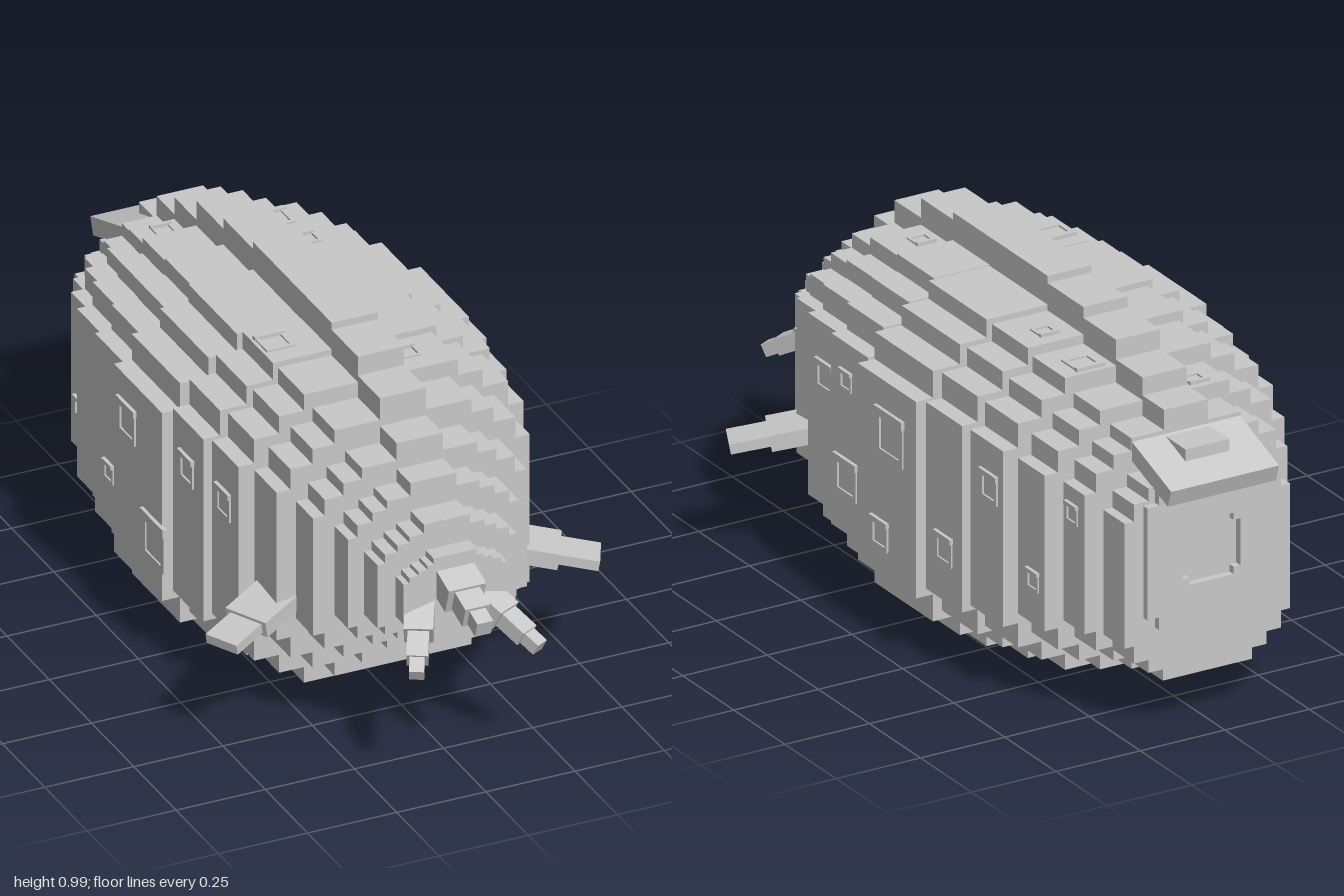
import * as THREE from 'three';

// Hull slices: front z, back z, half width, bottom, top
const SLICES = [
  [0.82, 0.77, 0.145, 0.39, 0.60],
  [0.77, 0.69, 0.195, 0.345, 0.675],
  [0.69, 0.61, 0.24, 0.29, 0.755],
  [0.61, 0.51, 0.30, 0.215, 0.83],
  [0.51, 0.38, 0.355, 0.135, 0.91],
  [0.38, 0.225, 0.40, 0.055, 0.965],
  [0.225, 0.045, 0.425, 0.03, 0.985],
  [0.045, -0.24, 0.455, 0, 0.985],
  [-0.24, -0.415, 0.425, 0.03, 0.965],
  [-0.415, -0.575, 0.40, 0.055, 0.935],
  [-0.575, -0.705, 0.355, 0.10, 0.88],
  [-0.705, -0.81, 0.30, 0.135, 0.83],
  [-0.81, -0.915, 0.245, 0.135, 0.76],
];

// Stepped tiers: width, lower and upper height, as fractions of a slice
const TIERS = [
  [1, 0.183, 0.736],
  [0.89, 0.107, 0.812],
  [0.715, 0.05, 0.868],
  [0.54, 0, 0.919],
];

const sliceAt = (z) => SLICES.find(([f, b]) => z <= f && z >= b);

function slicePoints([, , w, lo, hi]) {
  const y = (f) => lo + (hi - lo) * f;
  const ridge = Math.min(0.065, w * 0.42);
  const half = [];
  // right half of the outline, from the bottom up
  for (let i = TIERS.length - 1; i >= 0; i--) {
    half.push([TIERS[i][0] * w, y(TIERS[i][1])]);
    if (i > 0) half.push([TIERS[i][0] * w, y(TIERS[i - 1][1])]);
  }
  for (let i = 0; i < TIERS.length; i++) {
    half.push([TIERS[i][0] * w, y(TIERS[i][2])]);
    half.push([i < 3 ? TIERS[i + 1][0] * w : ridge, y(TIERS[i][2])]);
  }
  half.push([ridge, hi]);
  // fix the lower steps so every corner is square
  const lower = [];
  for (let i = TIERS.length - 1; i >= 0; i--) {
    lower.push([TIERS[i][0] * w, y(TIERS[i][1])]);
    if (i > 0) lower.push([TIERS[i][0] * w, y(TIERS[i - 1][1])]);
  }
  const right = [...lower, ...half.slice(lower.length)];
  const left = right.map(([x, py]) => [-x, py]).reverse();
  return [...right, ...left].map(([x, py]) => new THREE.Vector2(x, py));
}

export function createModel() {
  const model = new THREE.Group();
  const grey = new THREE.MeshStandardMaterial({ color: 0xc8c8c8 });
  grey.name = 'plain grey';

  const add = (parent, name, geometry, x = 0, y = 0, z = 0) => {
    const mesh = new THREE.Mesh(geometry, grey);
    mesh.name = name;
    mesh.position.set(x, y, z);
    parent.add(mesh);
    return mesh;
  };
  const box = (parent, name, w, h, d, x, y, z) =>
    add(parent, name, new THREE.BoxGeometry(w, h, d), x, y, z);

  // Stepped hull
  const hull = new THREE.Group();
  hull.name = 'hull';
  model.add(hull);
  SLICES.forEach((s) => {
    const geometry = new THREE.ExtrudeGeometry(new THREE.Shape(slicePoints(s)), {
      depth: s[0] - s[1], bevelEnabled: false,
    });
    add(hull, 'hullSlice', geometry, 0, 0, s[1]);
  });

  // Window: thin square frame with a small hood, facing local +z
  function makeWindow(size) {
    const g = new THREE.Group();
    g.name = 'window';
    const t = size * 0.14, r = size / 2 - t / 2;
    for (const s of [-1, 1]) {
      box(g, 'windowPost', t, size, 0.006, s * r, 0, 0.002);
      box(g, 'windowBar', size, t, 0.006, 0, s * r, 0.002);
    }
    box(g, 'windowHood', size * 1.05, t * 1.3, 0.014, 0, r, 0.003);
    model.add(g);
    return g;
  }

  // Side windows: z, y, size
  const leftSide = [
    [0.57, 0.55, 0.055], [0.295, 0.58, 0.08], [0.15, 0.63, 0.055],
    [0.15, 0.36, 0.105], [-0.115, 0.58, 0.13], [-0.065, 0.295, 0.08],
    [-0.33, 0.345, 0.08], [-0.51, 0.58, 0.08], [-0.65, 0.365, 0.055],
    [-0.75, 0.575, 0.055],
  ];
  const rightSide = [
    [0.295, 0.58, 0.08], [0.13, 0.60, 0.08], [0, 0.33, 0.13],
    [-0.16, 0.60, 0.1], [-0.33, 0.36, 0.055], [-0.65, 0.365, 0.055],
  ];
  [[1, leftSide], [-1, rightSide]].forEach(([side, list]) => {
    list.forEach(([z, y, size]) => {
      const w = makeWindow(size);
      w.position.set(side * sliceAt(z)[2], y, z);
      w.rotation.y = side * Math.PI / 2;
    });
  });

  // Roof windows: x, z, size
  [[-0.115, -0.66, 0.055], [0.13, -0.52, 0.08], [0.14, -0.35, 0.055],
    [-0.18, 0.13, 0.08], [0.115, 0.295, 0.055]].forEach(([x, z, size]) => {
    const [, , , lo, hi] = sliceAt(z);
    const w = makeWindow(size);
    w.position.set(x, lo + (hi - lo) * TIERS[3][2], z);
    w.rotation.x = -Math.PI / 2;
  });

  // Rear plate with a notched opening in the middle
  const notched = (Path, w, h, n, cy) => new Path([
    [w - n, -h], [w - n, -h + n], [w, -h + n], [w, h - n], [w - n, h - n], [w - n, h],
    [-w + n, h], [-w + n, h - n], [-w, h - n], [-w, -h + n], [-w + n, -h + n], [-w + n, -h],
  ].map(([x, y]) => new THREE.Vector2(x, y + cy)));
  const plate = notched(THREE.Shape, 0.19, 0.19, 0.035, 0.478);
  plate.holes.push(notched(THREE.Path, 0.085, 0.085, 0.02, 0.478));
  add(model, 'rearPlate',
    new THREE.ExtrudeGeometry(plate, { depth: 0.025, bevelEnabled: false }), 0, 0, -0.935);

  // Sloping flap over the rear
  const flap = box(model, 'rearFlap', 0.32, 0.05, 0.23, 0, 0.711, -0.885);
  flap.rotation.x = -0.33;

  // Tapering limb of boxes between two points; parts: length share, width, height
  function limb(name, from, to, parts) {
    const g = new THREE.Group();
    g.name = name;
    const a = new THREE.Vector3(...from), b = new THREE.Vector3(...to);
    const length = a.distanceTo(b);
    g.position.copy(a);
    g.lookAt(b);
    let at = 0;
    parts.forEach(([share, w, h]) => {
      const d = share * length;
      box(g, name + 'Joint', w, h, d, 0, 0, at + d / 2);
      at += d;
    });
    model.add(g);
  }

  // Nose feelers and side fins
  limb('middleFeeler', [0, 0.535, 0.78], [0, 0.468, 0.99],
    [[0.48, 0.105, 0.075], [0.3, 0.07, 0.06], [0.22, 0.045, 0.045]]);
  for (const s of [-1, 1]) {
    limb('sideFeeler', [s * 0.085, 0.452, 0.79], [s * 0.173, 0.355, 0.955],
      [[0.42, 0.075, 0.06], [0.36, 0.055, 0.045], [0.22, 0.038, 0.035]]);
    limb('sideFin', [s * 0.29, 0.378, 0.435], [s * 0.53, 0.33, 0.555],
      [[0.62, 0.13, 0.045], [0.38, 0.1, 0.028]]);
  }

  return model;
}
